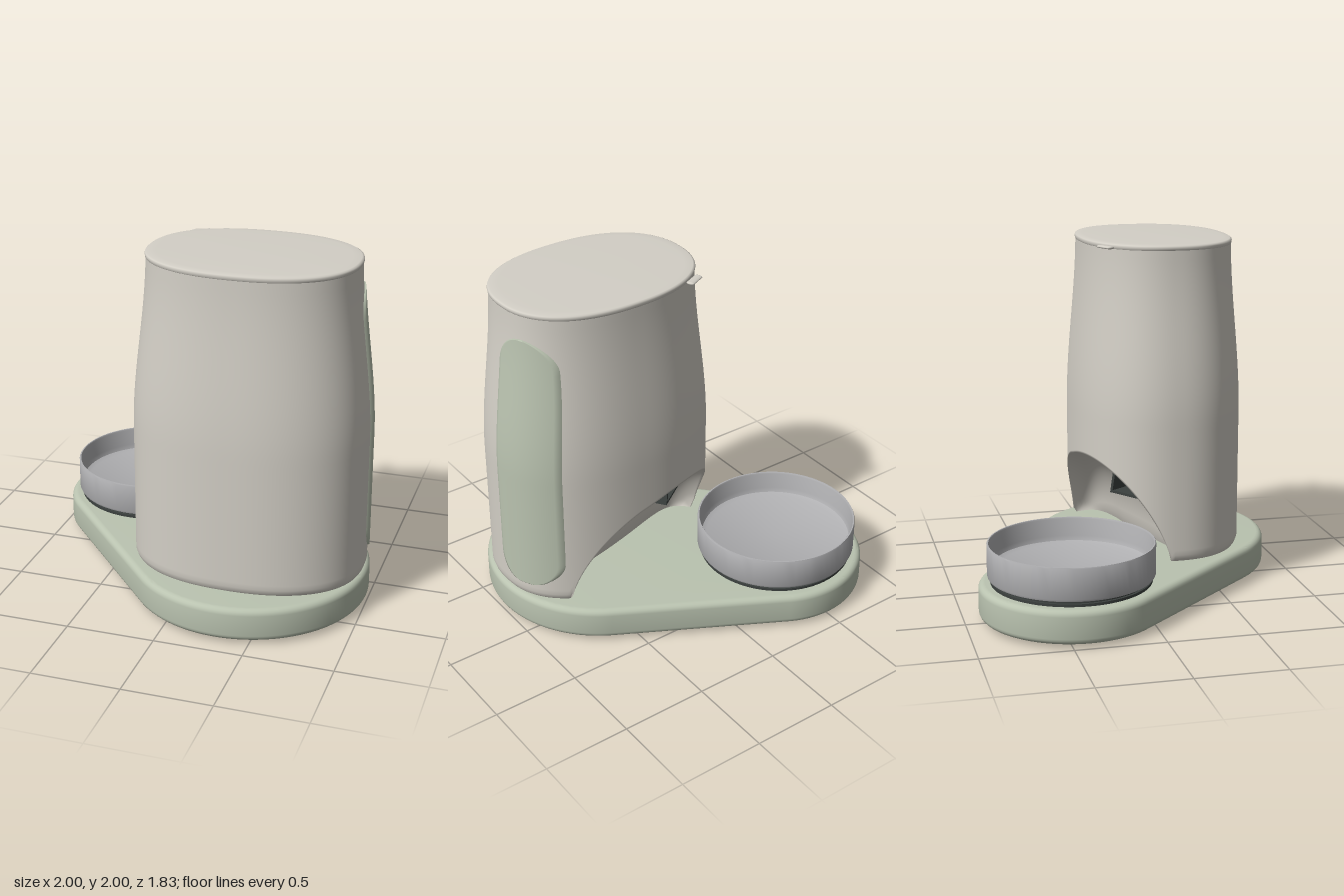
import * as THREE from 'three';
import { toCreasedNormals } from 'three/addons/utils/BufferGeometryUtils.js';

const mat = (color, side = THREE.FrontSide) => new THREE.MeshStandardMaterial({ color, side });
const GREEN = 0xbac3b0, CREAM = 0xd3cfc6, STEEL = 0xb0b0b2, DARK = 0x3c413f;
const CX = 0.325, CZ = 0.245, N = 2.3; // tower centre and superellipse power
const BOWL = [-0.49, -0.41];

function part(group, name, geometry, material, x = 0, y = 0, z = 0) {
  const m = new THREE.Mesh(geometry, material);
  m.name = name;
  m.position.set(x, y, z);
  group.add(m);
  return m;
}

// Grid of points p(i, j) joined into a smooth surface; wrap closes it in i
function surface(cols, rows, p, wrap) {
  const pos = [], idx = [], n = wrap ? cols : cols + 1;
  for (let j = 0; j <= rows; j++) for (let i = 0; i < n; i++) pos.push(...p(i, j));
  for (let j = 0; j < rows; j++) for (let i = 0; i < cols; i++) {
    const a = j * n + i, b = j * n + (i + 1) % n, c = a + n, d = b + n;
    idx.push(a, c, b, b, c, d);
  }
  const g = new THREE.BufferGeometry();
  g.setAttribute('position', new THREE.Float32BufferAttribute(pos, 3));
  g.setIndex(idx);
  g.computeVertexNormals();
  return g;
}

// Half width and half depth of the tower at height y
function halfSize(y) {
  const s = THREE.MathUtils.smoothstep(y, 1.0, 2.0);
  const foot = 0.015 * Math.max(0, (0.25 - y) / 0.04) ** 2;
  return [0.66 - 0.081 * s - foot, 0.485 - 0.055 * s - foot];
}

function oval(a, b, t) {
  const f = v => Math.sign(v) * Math.abs(v) ** (2 / N);
  return [CX + a * f(Math.cos(t)), CZ + b * f(Math.sin(t))];
}

// Tower with an arched hollow scooped out of the back above the bowl
function towerGeometry() {
  const cols = 192, low = 20, rows = 56, y0 = 0.205, y1 = 1.965;
  return surface(cols, rows, (i, j) => {
    const t = -Math.PI * 2 + (i / cols) * Math.PI * 2;
    let deg = THREE.MathUtils.radToDeg(t);
    if (deg < -180) deg += 360;
    const u = (deg + 113) / 63;
    const k = Math.max(0, 1 - u * u);
    const edge = y0 + 0.56 * k ** 0.7;
    let y, inset = 0;
    if (j < low) {
      const s = 1 - j / low;
      y = edge + (y0 - edge) * s * s;
      inset = 0.42 * k ** 0.6 * Math.sqrt(1 - (1 - s * s) ** 2);
    } else {
      const s = (j - low) / (rows - low);
      y = edge + (y1 - edge) * s ** 1.3;
    }
    const [x, z] = oval(...halfSize(y), t);
    return [x + 0.5 * inset, y, z + 0.85 * inset];
  }, true);
}

// Lid: stacked ovals ending in a gently domed top
function lidGeometry() {
  const rings = [[0.9, 1.958], [0.988, 1.96], [1.0, 1.968], [1.004, 1.98], [0.998, 1.989],
    [0.98, 1.994], [0.9, 1.996], [0.6, 1.999], [0.3, 2], [0.001, 2]];
  return surface(96, rings.length - 1, (i, j) => {
    const [s, y] = rings[j];
    const [x, z] = oval(0.582 * s, 0.433 * s, (i / 96) * Math.PI * 2);
    return [x, y, z];
  }, true);
}

// Rounded grip panel wrapped onto the tower's left side
function panelGeometry() {
  const cols = 24, rows = 64, yb = 0.3, yt = 1.83, r = 0.16;
  return surface(cols, rows, (i, j) => {
    const v = (1 - Math.cos((j / rows) * Math.PI)) / 2;
    const y = yb + (yt - yb) * v;
    const e = Math.max(0, r - Math.min(y - yb, yt - y));
    const cut = r - Math.sqrt(Math.max(0, r * r - e * e));
    const front = 0.24 - cut;
    const back = -0.13 + 0.05 * Math.max(0, (y - 1) / 0.8) ** 2 + cut;
    const z = back + (front - back) * (i / cols);
    const [a, b] = halfSize(y);
    const x = CX + a * (1 - Math.abs((z - CZ) / b) ** N) ** (1 / N);
    const rim = i === 0 || i === cols || j === 0 || j === rows;
    const nx = Math.abs((x - CX) / a) ** (N - 1) / a, nz = -(Math.abs((z - CZ) / b) ** (N - 1)) / b;
    const d = (rim ? -0.006 : 0.012) / Math.hypot(nx, nz);
    return [x + nx * d, y, z + nz * d];
  }, false);
}

// Base plate: two circles joined by their tangents, with rounded edges
function baseGeometry() {
  const bevel = 0.035, A = [...BOWL, 0.51], B = [0.32, 0.235, 0.68];
  const dx = B[0] - A[0], dz = B[1] - A[1];
  const dir = Math.atan2(dz, dx), spread = Math.acos((A[2] - B[2]) / Math.hypot(dx, dz));
  const s = new THREE.Shape();
  s.absarc(B[0], B[1], B[2] - bevel, dir - spread, dir + spread, false);
  s.absarc(A[0], A[1], A[2] - bevel, dir + spread, dir - spread + Math.PI * 2, false);
  const g = new THREE.ExtrudeGeometry(s, {
    depth: 0.12, bevelEnabled: true, bevelSize: bevel, bevelThickness: bevel, bevelSegments: 5, curveSegments: 48,
  });
  g.rotateX(Math.PI / 2).translate(0, 0.175, 0);
  return toCreasedNormals(g, 0.6);
}

const lathe = pts => toCreasedNormals(
  new THREE.LatheGeometry(pts.map(p => new THREE.Vector2(...p)), 72), 0.7);

export function createModel() {
  const model = new THREE.Group();
  model.name = 'petFeeder';

  part(model, 'base', baseGeometry(), mat(GREEN));
  const foot = lathe([[0, 0], [0.055, 0], [0.068, 0.008], [0.07, 0.03]]);
  for (const [x, z] of [[0.66, 0.44], [0.46, -0.13], [-0.46, -0.13], [-0.57, -0.64]])
    part(model, 'rubberFoot', foot, mat(DARK), x, 0, z);

  // Food tower
  part(model, 'tower', towerGeometry(), mat(CREAM, THREE.DoubleSide));
  part(model, 'lid', lidGeometry(), mat(CREAM));
  part(model, 'gripPanel', panelGeometry(), mat(GREEN, THREE.DoubleSide));

  const tab = part(model, 'lidTab', new THREE.CapsuleGeometry(0.012, 0.09, 4, 12).rotateZ(Math.PI / 2)
    .scale(1, 0.7, 2), mat(CREAM), -0.085, 1.975, -0.125);
  tab.rotation.y = 0.45;

  // Outlet in the hollow, facing the bowl
  const chute = new THREE.Group();
  chute.name = 'foodChute';
  chute.position.set(-0.06, 0.61, 0.04);
  chute.rotation.y = Math.PI + 0.61;
  model.add(chute);
  const frame = new THREE.Shape([[-0.16, -0.08], [0.16, -0.08], [0.13, 0.09], [-0.13, 0.09]]
    .map(p => new THREE.Vector2(...p)));
  frame.holes.push(new THREE.Path([[-0.14, -0.065], [-0.115, 0.075], [0.115, 0.075], [0.14, -0.065]]
    .map(p => new THREE.Vector2(...p))));
  part(chute, 'chuteFrame', new THREE.ExtrudeGeometry(frame, { depth: 0.16, bevelEnabled: false }),
    mat(DARK), 0, 0, -0.14);
  part(chute, 'chuteBack', new THREE.BoxGeometry(0.28, 0.15, 0.01), mat(DARK), 0, 0, -0.1);
  part(model, 'sensorHole', new THREE.SphereGeometry(0.01, 12, 8), mat(DARK), -0.125, 0.97, -0.115);

  // Bowl and the ring it rests on
  part(model, 'bowlRing', lathe([[0, 0.205], [0.445, 0.205], [0.445, 0.225], [0.43, 0.225], [0.43, 0.25]]),
    mat(DARK), BOWL[0], 0, BOWL[1]);
  part(model, 'bowl', lathe([[0, 0.238], [0.445, 0.238], [0.457, 0.243], [0.462, 0.255], [0.462, 0.422],
    [0.459, 0.428], [0.452, 0.428], [0.448, 0.42], [0.445, 0.32], [0.435, 0.295], [0.41, 0.282], [0, 0.28]]),
    mat(STEEL), BOWL[0], 0, BOWL[1]);

  return model;
}
